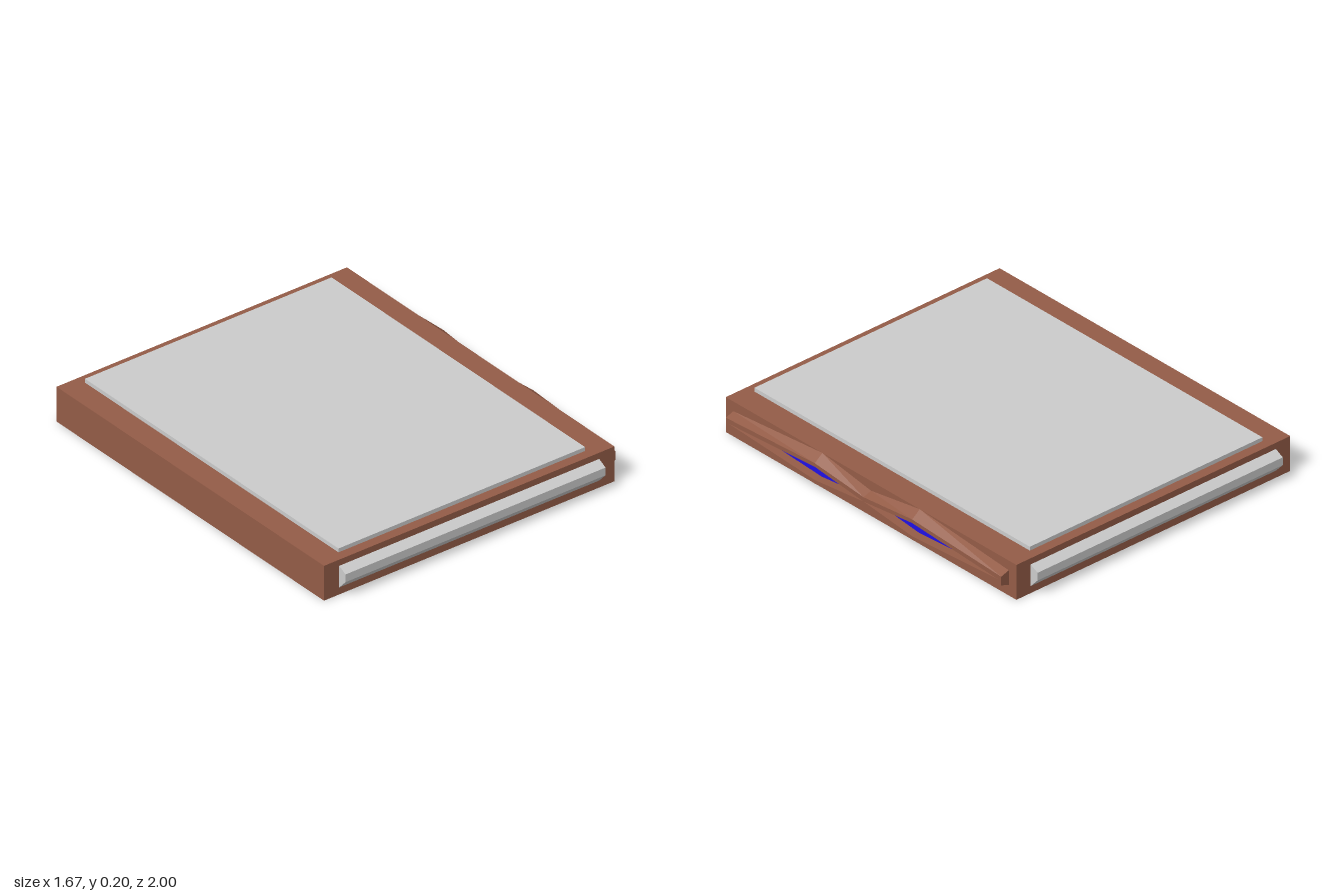
import * as THREE from 'three';

const grey = new THREE.MeshStandardMaterial({ color: 0xcccccc, flatShading: true });
const brown = new THREE.MeshStandardMaterial({ color: 0x945c47, flatShading: true });
const blue = new THREE.MeshStandardMaterial({ color: 0x2010e6, flatShading: true });

function add(group, name, geometry, material) {
  const mesh = new THREE.Mesh(geometry, material);
  mesh.name = name;
  group.add(mesh);
  return mesh;
}

// Box given by its lowest and highest corners
function box([x0, y0, z0], [x1, y1, z1]) {
  return new THREE.BoxGeometry(x1 - x0, y1 - y0, z1 - z0)
    .translate((x0 + x1) / 2, (y0 + y1) / 2, (z0 + z1) / 2);
}

const midY = 0.0925;

// Double-lens outline at one x: half heights at the ends, the two bulges and the waist
function lensLoop(x, endZ, endH, bulgeH, waistH) {
  const zs = [endZ, 0.32, 0, -0.32, -endZ];
  const hs = [endH, bulgeH, waistH, bulgeH, endH];
  const top = zs.map((z, i) => [x, midY + hs[i], z]);
  const bottom = zs.map((z, i) => [x, midY - hs[i], z]).reverse();
  return [...top, ...bottom];
}

// Joins successive closed loops with quads
function skin(loops) {
  const n = loops[0].length;
  const index = [];
  for (let s = 0; s < loops.length - 1; s++) {
    for (let i = 0; i < n; i++) {
      const j = (i + 1) % n;
      const a = s * n + i, b = s * n + j, c = b + n, d = a + n;
      index.push(a, d, c, a, c, b);
    }
  }
  const g = new THREE.BufferGeometry();
  g.setAttribute('position', new THREE.Float32BufferAttribute(loops.flat(2), 3));
  g.setIndex(index);
  const flat = g.toNonIndexed();
  flat.computeVertexNormals();
  return flat;
}

export function createModel() {
  const model = new THREE.Group();
  model.name = 'slab';

  add(model, 'body', box([-0.835, 0, -0.955], [0.79, 0.18, 0.955]), brown);
  add(model, 'topPanel', box([-0.715, 0.17, -0.905], [0.665, 0.2, 0.905]), grey);

  // Bevelled bars on the front and back ends
  const profile = new THREE.Shape([
    [0.95, 0.036], [0.955, 0.036], [1, 0.085], [1, 0.125], [0.955, 0.148], [0.95, 0.148],
  ].map(([z, y]) => new THREE.Vector2(z, y)));
  const bar = new THREE.ExtrudeGeometry(profile, { depth: 1.455, bevelEnabled: false })
    .rotateY(-Math.PI / 2).translate(0.705, 0, 0);
  add(model, 'frontBar', bar, grey);
  const back = bar.clone().rotateY(Math.PI).translate(-0.045, 0, 0);
  // The back bar keeps the same span in x as the front one
  add(model, 'backBar', back, grey);

  // Raised frame with a bevelled outer edge and a double-lens opening
  add(model, 'sideFrame', skin([
    lensLoop(0.79, 0.905, 0.0375, 0.0875, 0.0375),
    lensLoop(0.835, 0.905, 0.0225, 0.0525, 0.0225),
    lensLoop(0.835, 0.885, 0, 0.034, 0),
    lensLoop(0.79, 0.885, 0, 0.034, 0),
  ]), brown);

  // Recessed lens-shaped inlays
  const lens = new THREE.Shape([
    [-0.885, 0], [-0.32, -0.034], [0, 0], [-0.32, 0.034],
  ].map(([x, y]) => new THREE.Vector2(x, y)));
  for (const side of [1, -1]) {
    const g = new THREE.ShapeGeometry(lens);
    if (side < 0) g.rotateZ(Math.PI);
    g.rotateY(Math.PI / 2).translate(0.793, midY, 0);
    add(model, side > 0 ? 'frontInlay' : 'backInlay', g, blue);
  }
  return model;
}
